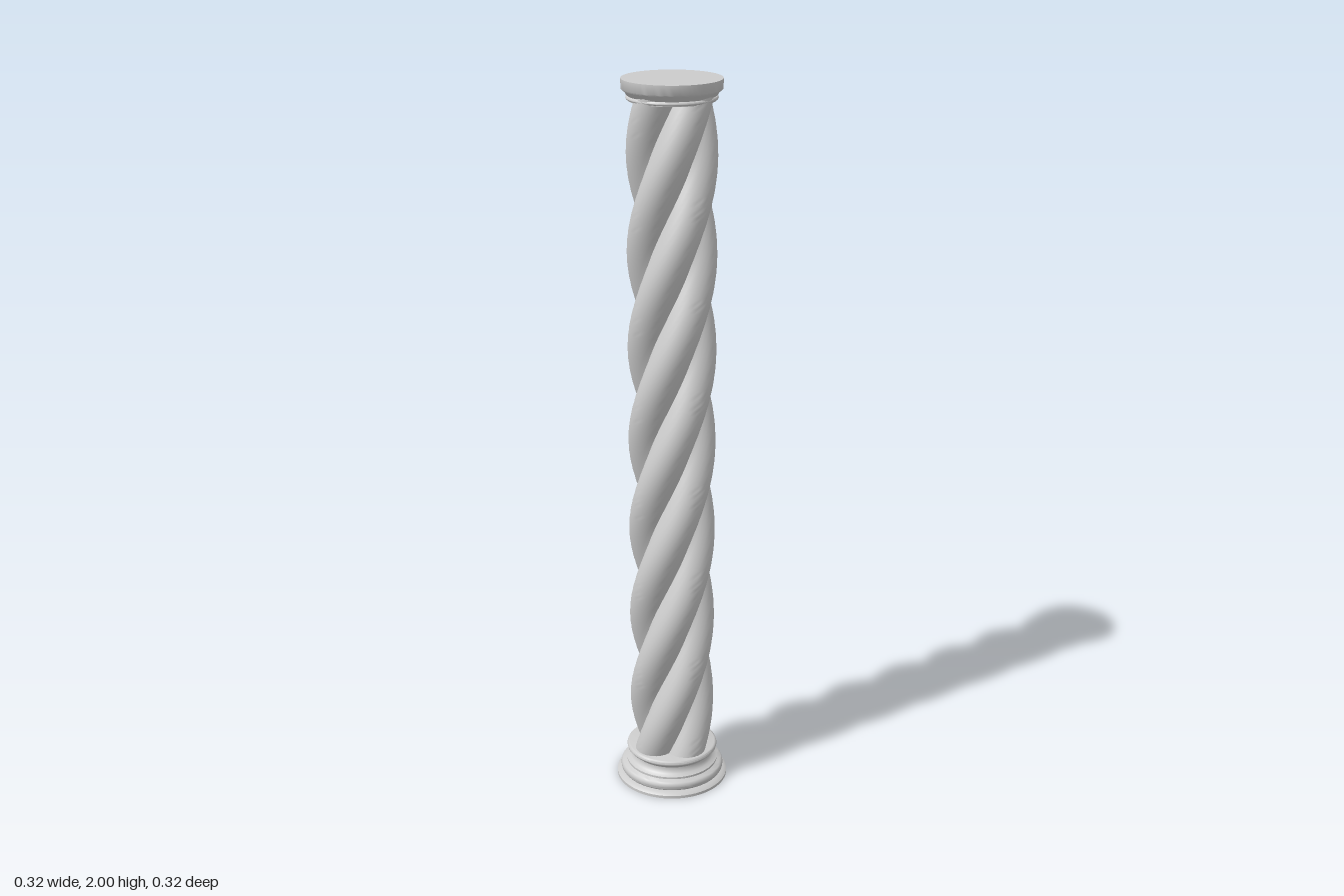
import * as THREE from 'three';
import { toCreasedNormals } from 'three/addons/utils/BufferGeometryUtils.js';

const material = new THREE.MeshStandardMaterial({ color: 0xcccccc });

function addPart(group, name, geometry, crease) {
  const mesh = new THREE.Mesh(toCreasedNormals(geometry, crease), material);
  mesh.name = name;
  group.add(mesh);
}

// Turned moulding from [radius, height] pairs, bottom to top
function turned(profile) {
  return new THREE.LatheGeometry(profile.map(([r, y]) => new THREE.Vector2(r, y)), 64);
}

// Half-round bead bulging outwards from radius r between two heights
function bead(r, y0, y1, bulge, steps = 6) {
  return Array.from({ length: steps + 1 }, (_, i) => {
    const a = Math.PI * (i / steps - 0.5);
    return [r + bulge * Math.cos(a), (y0 + y1) / 2 + (y1 - y0) / 2 * Math.sin(a)];
  });
}

// Four merged round strands twisting together up the column
function twistedShaft(y0, y1) {
  const strands = 4, offset = 0.062, radius = 0.056, pitch = 1.04, crestHeight = 1.653;
  const geometry = new THREE.CylinderGeometry(1, 1, y1 - y0, strands * 14, 150, true);
  geometry.translate(0, (y0 + y1) / 2, 0);
  const pos = geometry.attributes.position;
  const sector = 2 * Math.PI / strands;
  for (let i = 0; i < pos.count; i++) {
    const y = pos.getY(i);
    const angle = Math.atan2(pos.getX(i), pos.getZ(i));
    const local = angle - Math.round(angle / sector) * sector;
    const r = offset * Math.cos(local) + Math.sqrt(radius ** 2 - (offset * Math.sin(local)) ** 2);
    const turn = angle + 2 * Math.PI * (y - crestHeight) / pitch;
    pos.setXYZ(i, r * Math.sin(turn), y, r * Math.cos(turn));
  }
  return geometry;
}

export function createModel() {
  const group = new THREE.Group();
  group.name = 'twistedColumn';

  addPart(group, 'shaft', twistedShaft(0.08, 1.98), 0.7);

  // Stepped foot, hollow neck and top bead
  addPart(group, 'base', turned([
    [0, 0], [0.158, 0], [0.158, 0.008], [0.15, 0.014],
    ...bead(0.138, 0.016, 0.042, 0.009),
    [0.13, 0.046], [0.13, 0.052],
    [0.119, 0.057], [0.113, 0.066], [0.113, 0.074], [0.119, 0.082],
    ...bead(0.122, 0.084, 0.1, 0.007),
    [0, 0.1],
  ]), 0.6);

  // Flared collar under a flat round slab
  addPart(group, 'capital', turned([
    [0, 1.945], [0.113, 1.945],
    ...bead(0.113, 1.947, 1.957, 0.005),
    [0.117, 1.96], [0.121, 1.967], [0.128, 1.972],
    [0.13, 1.975], [0.13, 2], [0, 2],
  ]), 0.6);

  return group;
}
